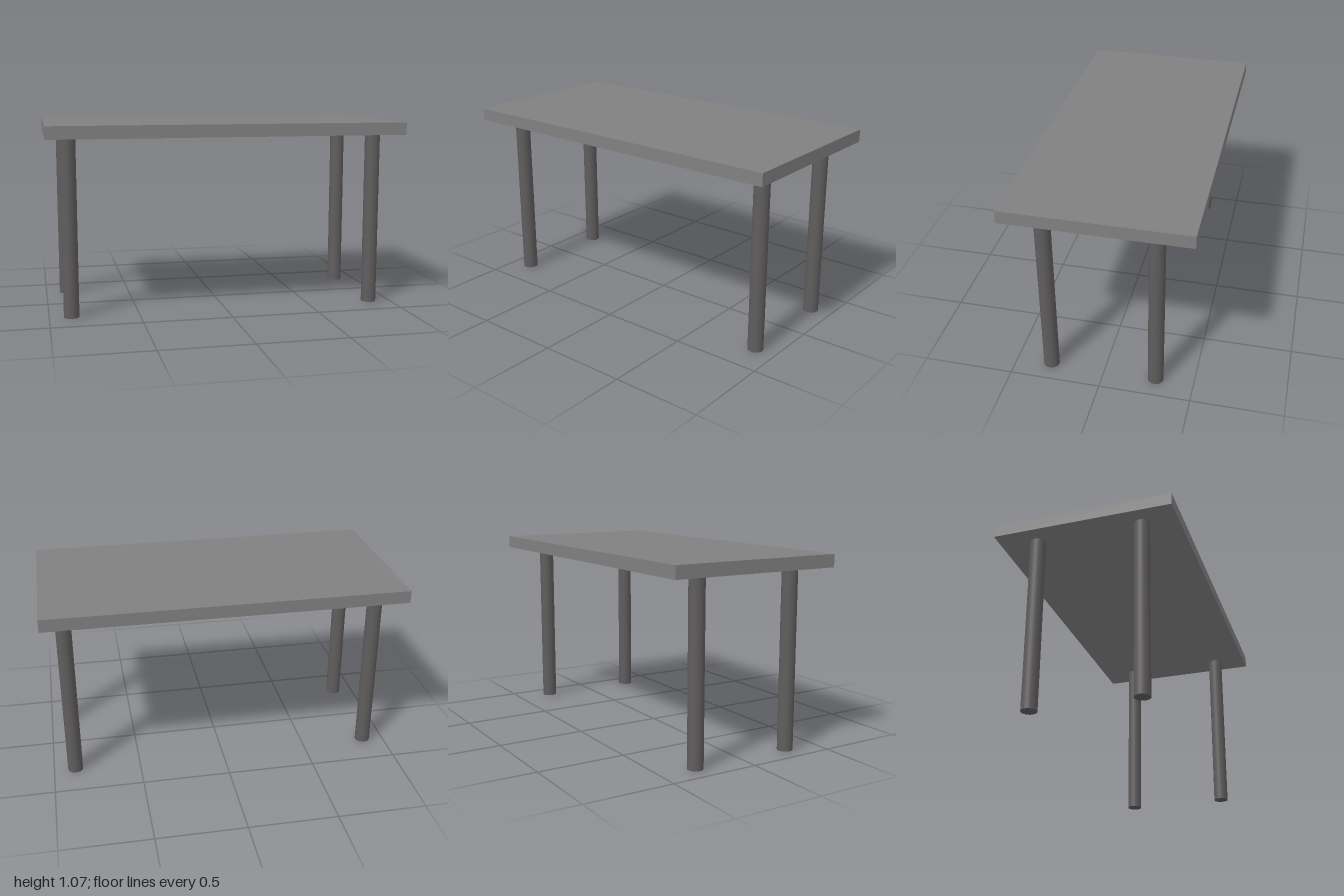
import * as THREE from 'three';

const LEG_HEIGHT = 1.0;
const LEG_RADIUS = 0.043;
const TOP_THICKNESS = 0.07;

export function createModel() {
  const table = new THREE.Group();
  table.name = 'table';

  const topMaterial = new THREE.MeshStandardMaterial({ color: 0x808080 });
  const legMaterial = new THREE.MeshStandardMaterial({ color: 0x5f5c5c });

  // Flat slab resting on the legs
  const top = new THREE.Mesh(new THREE.BoxGeometry(2, TOP_THICKNESS, 0.996), topMaterial);
  top.name = 'tableTop';
  top.position.y = LEG_HEIGHT + TOP_THICKNESS / 2;
  table.add(top);

  // Four round legs, the front pair set slightly nearer the edge
  const legGeometry = new THREE.CylinderGeometry(LEG_RADIUS, LEG_RADIUS, LEG_HEIGHT, 32);
  for (const [end, z] of [['front', 0.302], ['back', -0.29]]) {
    for (const [side, x] of [['Left', 0.877], ['Right', -0.877]]) {
      const leg = new THREE.Mesh(legGeometry, legMaterial);
      leg.name = `${end}${side}Leg`;
      leg.position.set(x, LEG_HEIGHT / 2, z);
      table.add(leg);
    }
  }

  return table;
}
